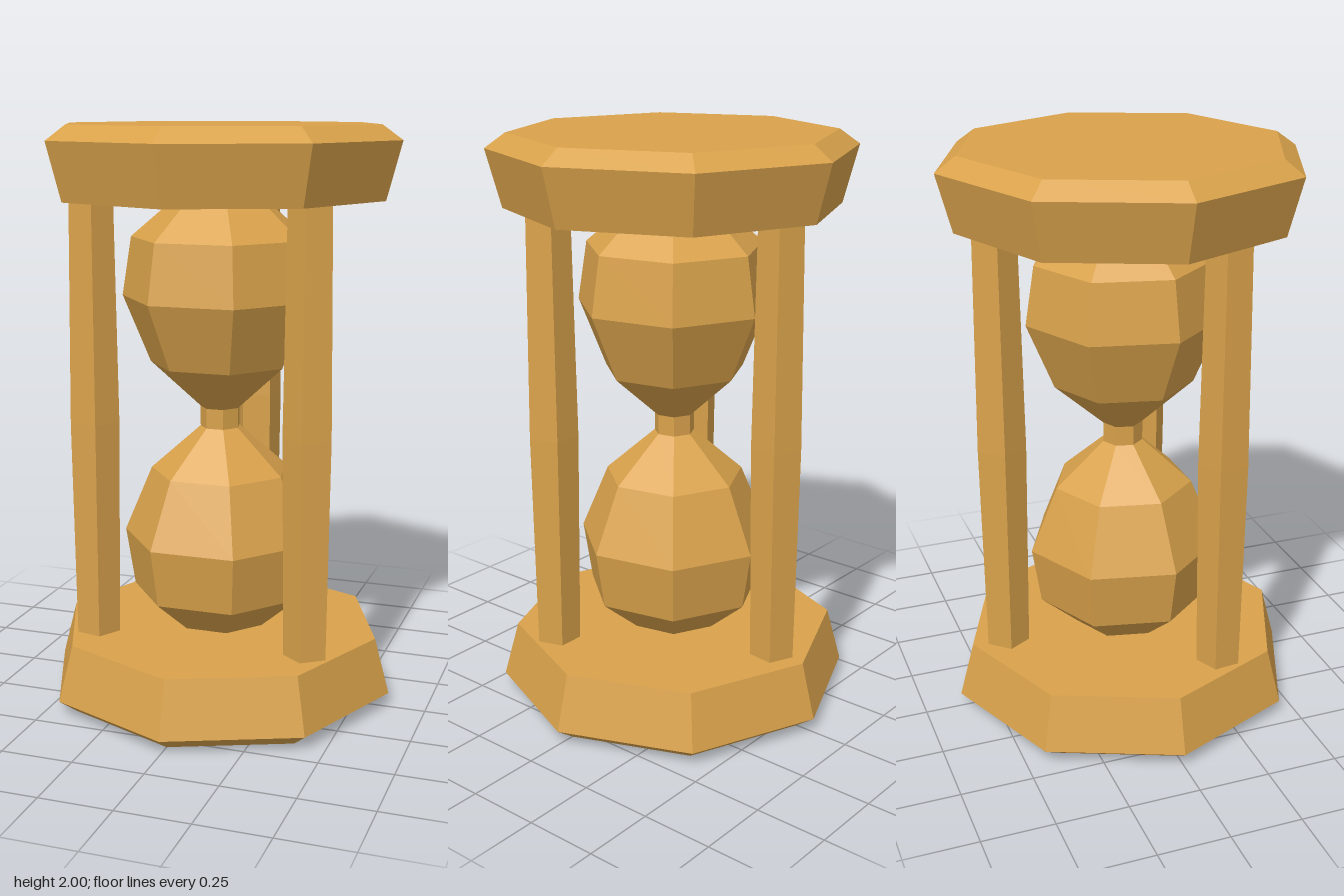
import * as THREE from 'three';

const wood = new THREE.MeshStandardMaterial({ color: 0xd9a24b, flatShading: true });

// Faceted solid of revolution; profile is [radius, y] from bottom to top
function turned(name, profile, sides) {
  const points = profile.map(([r, y]) => new THREE.Vector2(r, y));
  const mesh = new THREE.Mesh(new THREE.LatheGeometry(points, sides), wood);
  mesh.name = name;
  return mesh;
}

// Reflect a profile about y = 1, keeping it bottom to top
const flip = (profile) => profile.map(([r, y]) => [r, 2 - y]).reverse();

export function createModel() {
  const model = new THREE.Group();
  model.name = 'hourglass';

  // Octagonal end plates with a bevelled outer rim
  const plate = [[0, 0], [0.55, 0], [0.62, 0.05], [0.568, 0.245], [0, 0.245]];
  model.add(turned('bottomPlate', plate, 8));
  model.add(turned('topPlate', flip(plate), 8));

  // Seven-sided glass: two bulbs joined by a narrow neck
  const bulb = [[0, 0.245], [0.14, 0.25], [0.17, 0.26], [0.308, 0.378], [0.34, 0.58], [0.244, 0.81], [0.07, 0.965]];
  const glass = turned('glass', [...bulb, ...flip(bulb)], 7);
  glass.rotation.y = Math.PI;
  model.add(glass);

  // Three five-sided posts, slightly swollen at mid height
  for (let i = 0; i < 3; i++) {
    const pivot = new THREE.Group();
    pivot.name = `post${i + 1}`;
    pivot.rotation.y = (-i * Math.PI * 2) / 3;
    const post = turned('postShaft', [[0, 0.23], [0.077, 0.23], [0.087, 1], [0.077, 1.77], [0, 1.77]], 5);
    post.position.set(0.38, 0, 0.22);
    pivot.add(post);
    model.add(pivot);
  }

  return model;
}
